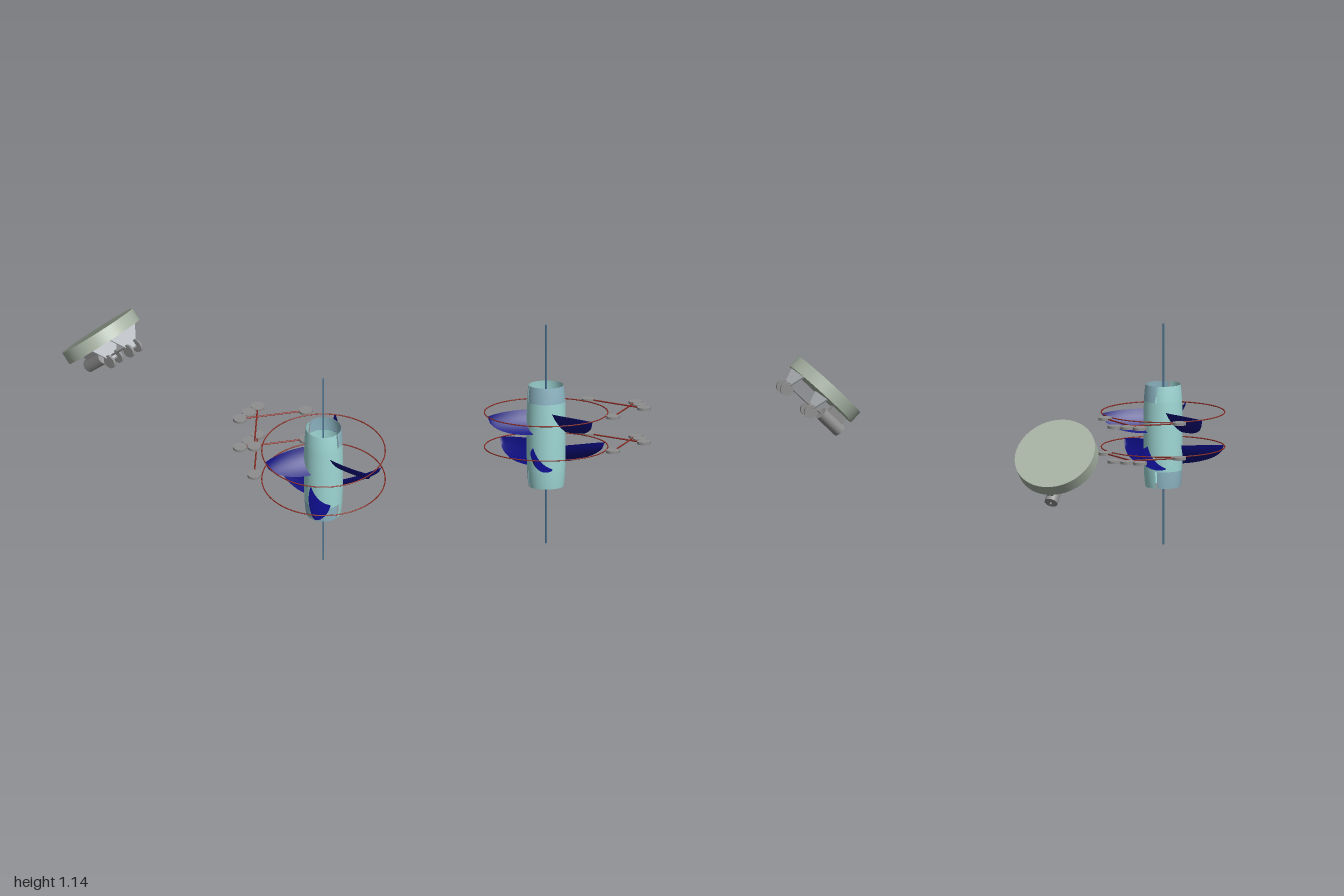
import * as THREE from 'three';

const material = (color, side = THREE.FrontSide) => new THREE.MeshStandardMaterial({ color, side });
const TEAL = material(0x9fd8d6, THREE.DoubleSide);
const PALE_BLUE = material(0x8fb8c6, THREE.DoubleSide);
const NAVY = material(0x0c0c80, THREE.DoubleSide);
const RED = material(0x8a2a22);
const STEEL = material(0x4a7290);
const GREY = material(0x8e8e8e);
const LIGHT_GREY = material(0xb8bcc0);
const DISH = material(0xa6b2a3);

function add(parent, name, geometry, mat, x = 0, y = 0, z = 0) {
  const mesh = new THREE.Mesh(geometry, mat);
  mesh.name = name;
  mesh.position.set(x, y, z);
  parent.add(mesh);
  return mesh;
}

// Thin round rod between two points
function rod(parent, name, a, b, radius, mat) {
  const from = new THREE.Vector3(...a), to = new THREE.Vector3(...b);
  const dir = to.clone().sub(from);
  const mesh = add(parent, name, new THREE.CylinderGeometry(radius, radius, dir.length(), 8), mat);
  mesh.position.copy(from).add(to).multiplyScalar(0.5);
  mesh.quaternion.setFromUnitVectors(new THREE.Vector3(0, 1, 0), dir.normalize());
}

// Twisted, cambered leaf: u runs from root to tip, v across the chord
function bladeGeometry() {
  const geometry = new THREE.PlaneGeometry(1, 1, 8, 20);
  const p = geometry.attributes.position;
  for (let i = 0; i < p.count; i++) {
    const v = p.getX(i) + 0.5, s = p.getY(i) + 0.5;
    const width = 1 - 0.94 * Math.pow(s, 2.2);
    const camber = 4 * v * (1 - v) * width;
    const drop = 0.11 * Math.sqrt(Math.max(0, 1 - Math.pow(s, 2.2)));
    p.setXYZ(i,
      0.086 + 0.229 * s,
      0.011 * (1 - s * s * s) - drop * v - 0.010 * camber,
      (0.050 - 0.103 * v) * width + 0.013 * camber);
  }
  geometry.computeVertexNormals();
  return geometry;
}

function buildRotor() {
  const rotor = new THREE.Group();
  rotor.name = 'rotor';
  rotor.position.x = 0.675;

  // Hollow barrel hub with split end bands
  const lathe = (pts, start = 0, length = Math.PI * 2) =>
    new THREE.LatheGeometry(pts.map(q => new THREE.Vector2(...q)), 48, start, length);
  add(rotor, 'hubBarrel', lathe([[0.0975, 0.39], [0.0995, 0.46], [0.1, 0.567], [0.0995, 0.67], [0.0975, 0.747]]), TEAL);
  const gap = 0.05;
  const topBand = [[0.0975, 0.747], [0.095, 0.79], [0.09, 0.832]];
  const bottomBand = [[0.09, 0.303], [0.095, 0.345], [0.0975, 0.39]];
  for (const front of [true, false]) {
    const start = (front ? -Math.PI / 2 : Math.PI / 2) + gap;
    const length = Math.PI - 2 * gap;
    add(rotor, 'hubTopBand', lathe(topBand, start, length), front ? TEAL : PALE_BLUE);
    add(rotor, 'hubBottomBand', lathe(bottomBand, start, length), front ? PALE_BLUE : TEAL);
  }
  add(rotor, 'shaft', new THREE.CylinderGeometry(0.0045, 0.0045, 1.145, 12), STEEL, 0, 0.5725, 0.003);

  // Two rows of three blades, staggered, each inside a thin ring
  const blade = bladeGeometry();
  [[0.687, 0], [0.507, Math.PI / 3]].forEach(([y, offset]) => {
    const ring = add(rotor, 'bladeRing', new THREE.TorusGeometry(0.315, 0.003, 8, 96), RED, 0, y);
    ring.rotation.x = Math.PI / 2;
    for (let i = 0; i < 3; i++) {
      add(rotor, 'blade', blade, NAVY, 0, y).rotation.y = offset + i * Math.PI * 2 / 3;
    }
  });
  return rotor;
}

// Crossed rods joining five flat discs
function buildLinkage(y) {
  const linkage = new THREE.Group();
  linkage.name = 'linkage';
  linkage.position.y = y;
  const disc = new THREE.CylinderGeometry(0.035, 0.035, 0.014, 24);
  for (const z of [-0.07, 0, 0.07]) add(linkage, 'innerDisc', disc, GREY, 0.173, 0, z);
  for (const side of [-1, 1]) {
    add(linkage, 'outerDisc', disc, GREY, 0.383, 0, side * 0.203);
    rod(linkage, 'crossRod', [0.383, 0, side * 0.203], [0.173, 0, -side * 0.07], 0.004, RED);
  }
  rod(linkage, 'innerRod', [0.173, 0, -0.07], [0.173, 0, 0.07], 0.004, RED);
  return linkage;
}

// Tilted round plate; local y points out of its clear face
function buildDish() {
  const dish = new THREE.Group();
  dish.name = 'dish';
  dish.position.set(-0.797, 0.672, 0);
  dish.rotation.z = Math.PI / 4;
  add(dish, 'dishPlate', new THREE.CylinderGeometry(0.212, 0.212, 0.068, 64), DISH, 0, 0.034);

  // Tapered bracket, lying in the local y-z plane
  const shape = new THREE.Shape([[-0.1, 0.005], [-0.022, -0.1], [0.022, -0.1], [0.1, 0.005]]
    .map(q => new THREE.Vector2(...q)));
  const bracket = new THREE.ExtrudeGeometry(shape, { depth: 0.008, bevelEnabled: false });
  bracket.translate(0, 0, -0.004).rotateY(Math.PI / 2);
  const wheel = new THREE.CylinderGeometry(0.035, 0.035, 0.012, 24).rotateX(Math.PI / 2);
  for (const x of [-0.011, 0.17]) {
    add(dish, 'bracket', bracket, LIGHT_GREY, x);
    for (const side of [-1, 1]) add(dish, 'roller', wheel, GREY, x, -0.1, side * 0.031);
    rod(dish, 'rollerAxle', [x, -0.1, -0.035], [x, -0.1, 0.035], 0.006, GREY);
  }
  rod(dish, 'linkBar', [-0.011, -0.078, 0], [0.17, -0.078, 0], 0.005, GREY);

  // Motor lying against the plate
  rod(dish, 'motor', [-0.213, -0.068, 0], [-0.073, -0.068, 0], 0.001, GREY);
  const body = add(dish, 'motorBody', new THREE.CylinderGeometry(0.034, 0.034, 0.14, 32), GREY, -0.143, -0.068);
  body.rotation.z = Math.PI / 2;
  rod(dish, 'motorShaft', [-0.225, -0.068, 0], [-0.011, -0.068, 0], 0.005, GREY);
  add(dish, 'motorMount', new THREE.BoxGeometry(0.1, 0.04, 0.03), GREY, -0.143, -0.018);
  return dish;
}

export function createModel() {
  const model = new THREE.Group();
  model.name = 'rotorAndDish';
  model.add(buildRotor(), buildLinkage(0.687), buildLinkage(0.507), buildDish());
  return model;
}
